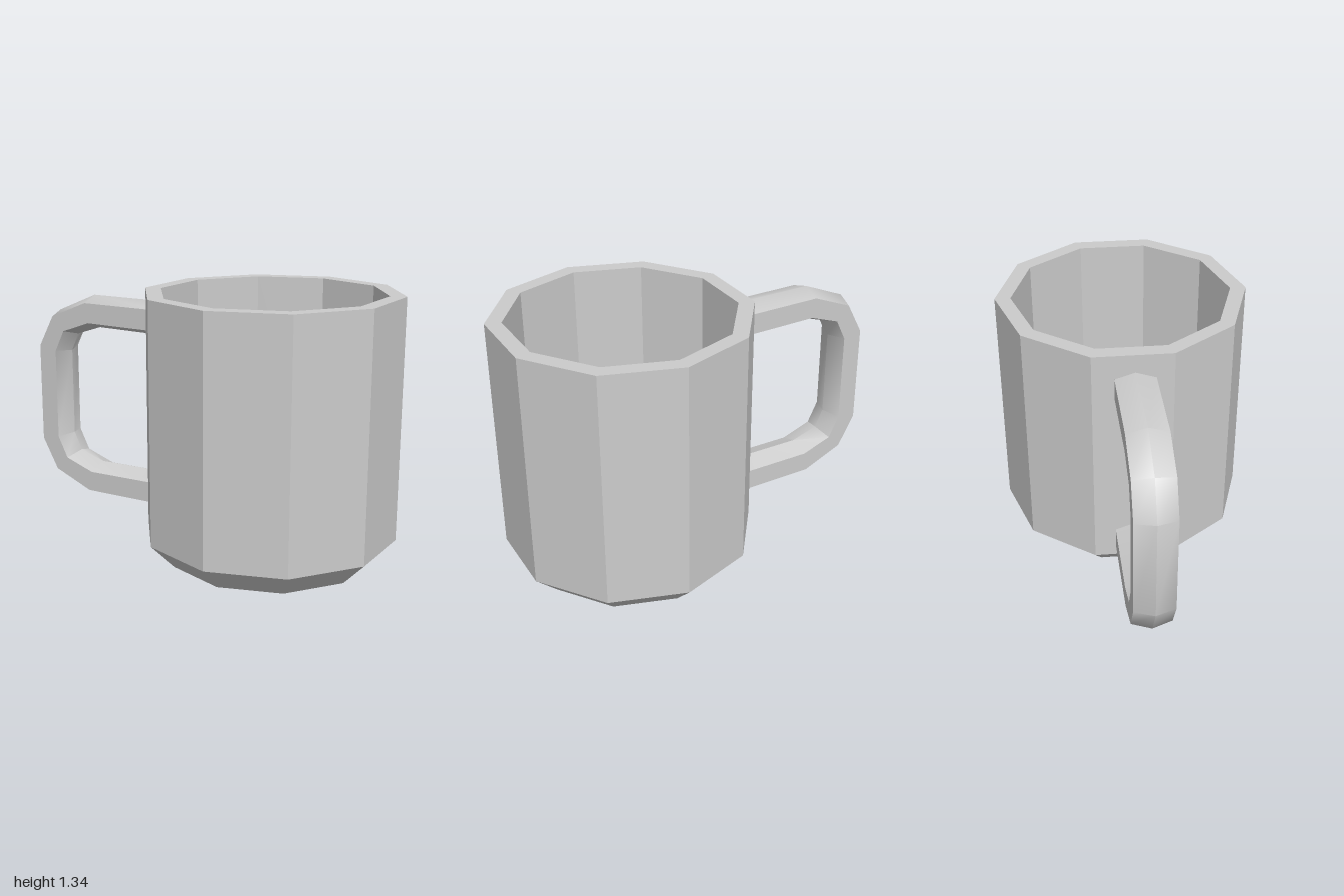
import * as THREE from 'three';
import { toCreasedNormals } from 'three/addons/utils/BufferGeometryUtils.js';

const SIDES = 10;
const TWIST = -Math.PI / 180;

function lathe(name, profile, flatShading) {
  const points = profile.map(([r, y]) => new THREE.Vector2(r, y));
  const geometry = new THREE.LatheGeometry(points, SIDES, TWIST);
  const mesh = new THREE.Mesh(geometry, new THREE.MeshStandardMaterial({ color: 0xcccccc, flatShading }));
  mesh.name = name;
  mesh.position.x = 0.39;
  return mesh;
}

// Six-sided bar swept between an outer and an inner outline
function createHandle() {
  const outer = [[-0.2, 1.245], [-0.67, 1.245], [-0.9, 1.147], [-1, 0.965], [-1, 0.43], [-0.9, 0.25], [-0.67, 0.15], [-0.2, 0.15]];
  const inner = [[-0.2, 1.067], [-0.64, 1.073], [-0.785, 1.025], [-0.83, 0.93], [-0.83, 0.465], [-0.785, 0.37], [-0.64, 0.325], [-0.2, 0.33]];
  // Each corner: share of the way from outer to inner outline, and z
  const section = [[0, 0], [0.18, 0.1], [0.79, 0.1], [1, 0], [0.79, -0.1], [0.18, -0.1]];
  const n = section.length;
  const positions = [];
  const index = [];
  outer.forEach(([ox, oy], i) => {
    const [ix, iy] = inner[i];
    section.forEach(([t, z], j) => {
      positions.push(ox + (ix - ox) * t, oy + (iy - oy) * t, z);
      if (i === outer.length - 1) return;
      const a = i * n + j;
      const c = i * n + (j + 1) % n;
      index.push(a, a + n, c, c, a + n, c + n);
    });
  });
  const geometry = new THREE.BufferGeometry();
  geometry.setAttribute('position', new THREE.Float32BufferAttribute(positions, 3));
  geometry.setIndex(index);
  const mesh = new THREE.Mesh(
    toCreasedNormals(geometry, THREE.MathUtils.degToRad(40)),
    new THREE.MeshStandardMaterial({ color: 0xcccccc })
  );
  mesh.name = 'handle';
  return mesh;
}

export function createModel() {
  const group = new THREE.Group();
  group.name = 'mug';
  group.add(
    // Outer wall, rim, inner wall and floor
    lathe('cup', [[0.64, 0.125], [0.64, 1.34], [0.56, 1.34], [0.56, 0.125], [0, 0.125]], true),
    // Sloped foot and underside
    lathe('foot', [[0.515, 0], [0.64, 0.125]], false),
    lathe('underside', [[0, 0], [0.515, 0]], true),
    createHandle()
  );
  return group;
}
